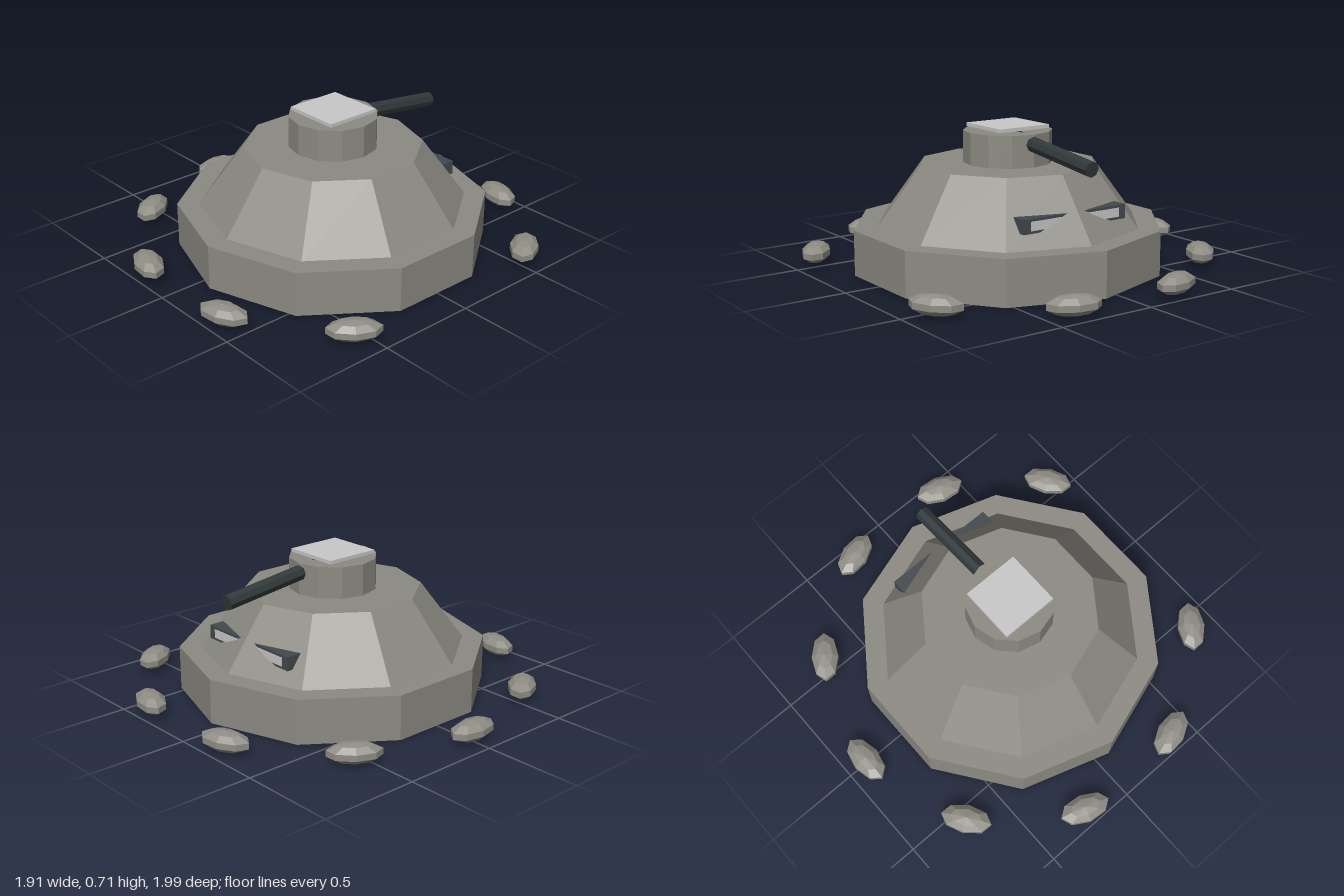
import * as THREE from 'three';

const flat = (name, color) => {
  const m = new THREE.MeshStandardMaterial({ color, flatShading: true });
  m.name = name;
  return m;
};

export function createModel() {
  const concrete = flat('concrete', 0x8c8a82);
  const sack = flat('sackcloth', 0x8f8d84);
  const gunMetal = flat('gunMetal', 0x30383a);
  const slitDark = flat('slitDark', 0x42494e);
  const pale = flat('paleGrey', 0xc8c8c8);

  const group = new THREE.Group();
  group.name = 'bunker';
  const body = new THREE.Group();
  body.name = 'bunkerBody';
  body.position.x = 0.077; // one sack is absent on the +x side
  group.add(body);

  const add = (name, geometry, material, x, y, z) => {
    const mesh = new THREE.Mesh(geometry, material);
    mesh.name = name;
    mesh.position.set(x, y, z);
    body.add(mesh);
    return mesh;
  };
  // Upright prism or frustum between two heights
  const drum = (name, rTop, rBottom, y0, y1, sides) =>
    add(name, new THREE.CylinderGeometry(rTop, rBottom, y1 - y0, sides), concrete, 0, (y0 + y1) / 2, 0);

  // Stacked concrete body
  drum('base', 0.78, 0.78, 0, 0.225, 10);
  drum('slopedWall', 0.447, 0.67, 0.225, 0.525, 10);
  drum('turret', 0.222, 0.222, 0.525, 0.685, 12);

  // Roof hatch
  add('hatch', new THREE.BoxGeometry(0.295, 0.018, 0.29), pale, 0, 0.705, 0);

  // Gun barrel, tilted slightly down towards the back
  const barrel = add('barrel', new THREE.CylinderGeometry(0.039, 0.039, 0.625, 8), gunMetal, 0, 0.62, -0.355);
  barrel.rotation.x = -Math.PI / 2 - Math.atan(0.1225);

  // Viewing slits either side of the barrel
  for (const side of [-1, 1]) {
    add('viewingSlit', new THREE.BoxGeometry(0.26, 0.07, 0.15), slitDark, side * 0.17, 0.33, -0.475);
    add('slitPane', new THREE.BoxGeometry(0.2, 0.044, 0.006), pale, side * 0.16, 0.33, -0.55);
  }

  // Ring of sandbags with a gap on the +x side
  const bag = new THREE.SphereGeometry(1, 8, 5).scale(0.0735, 0.049, 0.136);
  for (let i = 1; i < 10; i++) {
    const a = (i * Math.PI) / 5;
    const mesh = add('sandbag', bag, sack, 0.968 * Math.cos(a), 0.059, 0.968 * Math.sin(a));
    mesh.rotation.y = -a;
  }
  return group;
}
